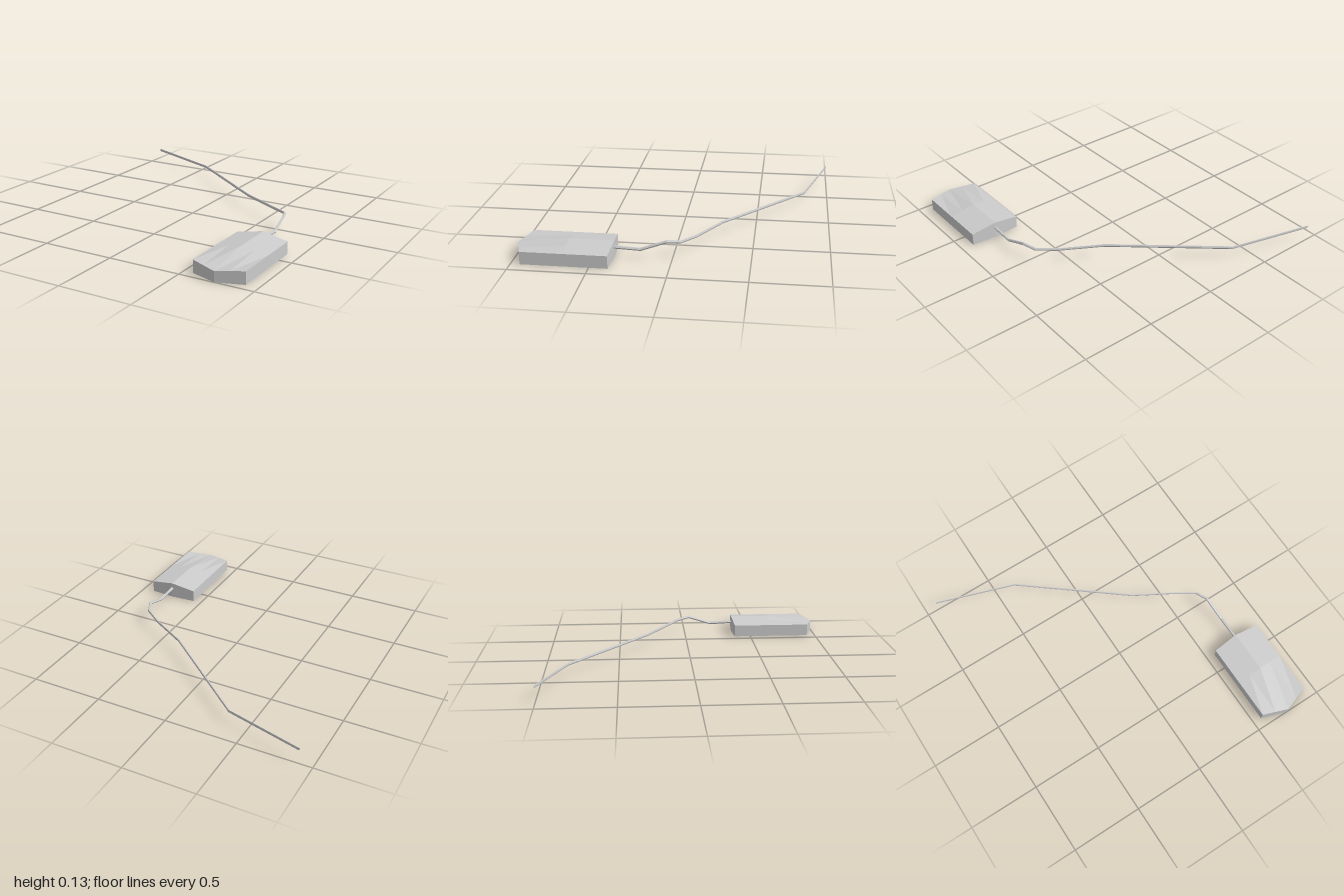
import * as THREE from 'three';

const material = () => new THREE.MeshStandardMaterial({ color: 0xcccccc, flatShading: true });

// Six-sided shell: a box whose ends are pointed and whose top is ridged
function makeBody() {
  const half = 0.177;
  const geo = new THREE.BoxGeometry(2 * half, 1, 2, 4, 1, 2);
  const p = geo.attributes.position;
  for (let i = 0; i < p.count; i++) {
    const x = p.getX(i), row = Math.round(p.getZ(i));
    const mid = 1 - Math.abs(x) / half; // 1 on the centre line, 0 at the sides
    const z = row > 0 ? 0.94 + 0.06 * mid : row < 0 ? 0.38 - 0.012 * mid : 0.66;
    const top = 0.085 + (row > 0 ? -0.015 : 0.031) * mid;
    p.setXYZ(i, x + 0.738, p.getY(i) > 0 ? top : 0, z);
  }
  geo.computeVertexNormals();
  const mesh = new THREE.Mesh(geo, material());
  mesh.name = 'mouseBody';
  return mesh;
}

// Cord swept from upright sections that all face along z
function makeCord() {
  const path = [
    [0.74, 0.073, 0.40], [0.74, 0.064, 0.2], [0.726, 0.119, 0.035], [0.69, 0.106, -0.05],
    [0.56, 0.097, -0.14], [0.3, 0.097, -0.29], [-0.365, 0.082, -0.83], [-0.905, 0.109, -1],
  ];
  const sides = 6, r = 0.0105, pos = [], idx = [];
  path.forEach(([x, y, z], k) => {
    for (let s = 0; s < sides; s++) {
      const a = (s / sides) * Math.PI * 2;
      pos.push(x + r * Math.cos(a), y + r * Math.sin(a), z);
      if (k === 0) continue;
      const b = k * sides + s, c = k * sides + (s + 1) % sides;
      idx.push(b, b - sides, c - sides, b, c - sides, c);
    }
  });
  // End caps
  const last = (path.length - 1) * sides;
  for (let s = 1; s < sides - 1; s++) idx.push(0, s, s + 1, last, last + s + 1, last + s);
  const geo = new THREE.BufferGeometry();
  geo.setAttribute('position', new THREE.Float32BufferAttribute(pos, 3));
  geo.setIndex(idx);
  geo.computeVertexNormals();
  const mat = material();
  mat.side = THREE.DoubleSide;
  const mesh = new THREE.Mesh(geo, mat);
  mesh.name = 'cord';
  return mesh;
}

export function createModel() {
  const group = new THREE.Group();
  group.name = 'computerMouse';
  group.add(makeBody(), makeCord());
  return group;
}
